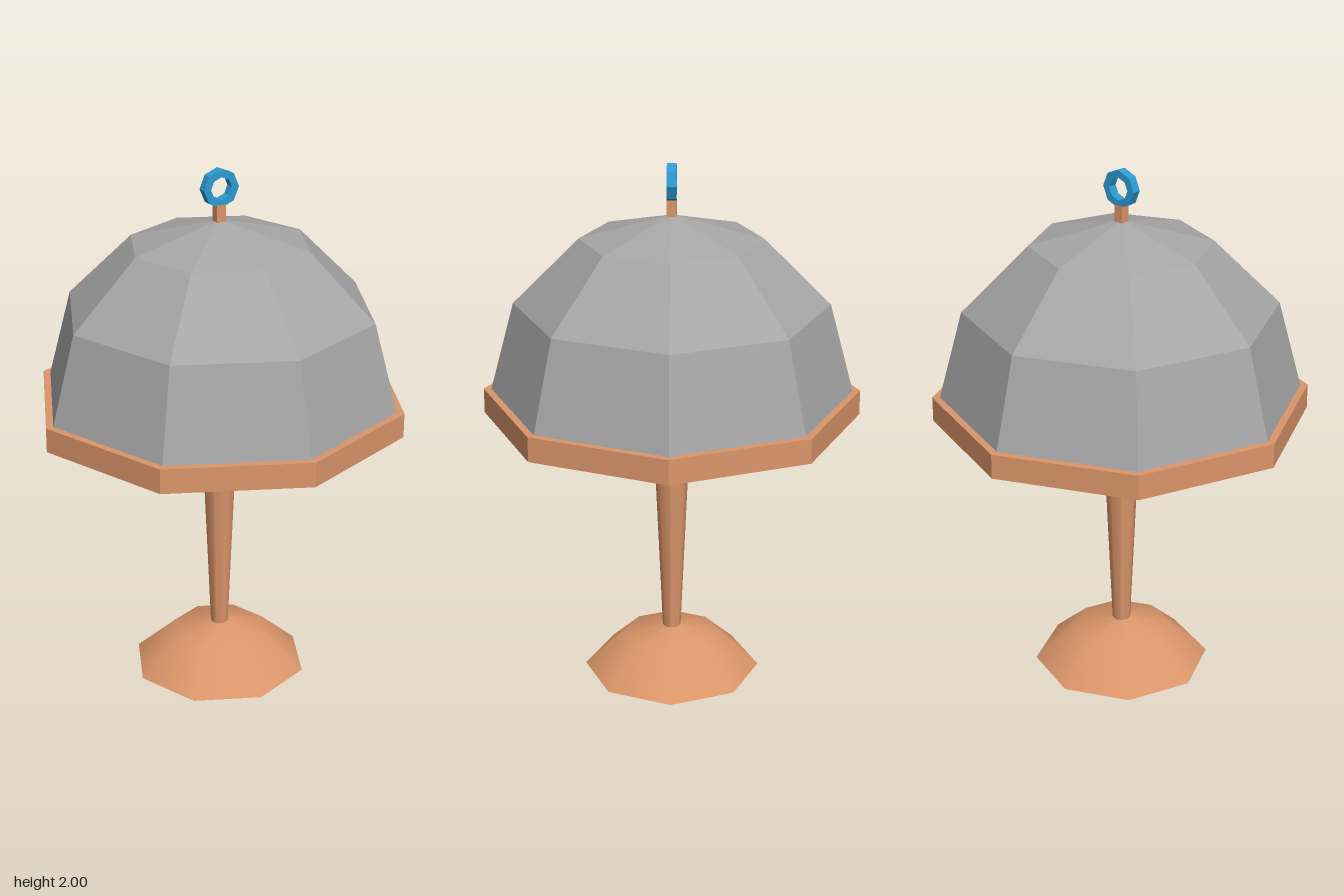
import * as THREE from 'three';

const SIDES = 8;

export function createModel() {
  const lamp = new THREE.Group();
  lamp.name = 'tableLamp';

  const wood = new THREE.MeshStandardMaterial({ name: 'wood', color: 0xdb966a });
  const woodShell = new THREE.MeshStandardMaterial({ name: 'woodShell', color: 0xdb966a, side: THREE.DoubleSide });
  const grey = new THREE.MeshStandardMaterial({ name: 'greyShade', color: 0xa6a6a6 });
  const blue = new THREE.MeshStandardMaterial({ name: 'blueRing', color: 0x2c9bd3 });
  wood.flatShading = false;

  const add = (name, geometry, material, y = 0) => {
    const mesh = new THREE.Mesh(geometry, material);
    mesh.name = name;
    mesh.position.y = y;
    lamp.add(mesh);
    return mesh;
  };

  // Separate the corners so each face gets its own normal
  const faceted = (geometry) => {
    const flat = geometry.index ? geometry.toNonIndexed() : geometry;
    flat.computeVertexNormals();
    return flat;
  };

  // Hollow, smooth foot, open underneath
  const footProfile = [[0.337, 0], [0.185, 0.137], [0, 0.18]].map(([r, y]) => new THREE.Vector2(r, y));
  add('foot', new THREE.LatheGeometry(footProfile, SIDES), woodShell);

  // Stem, widening upward and running down inside the foot
  add('stem', new THREE.CylinderGeometry(0.073, 0.027, 1.06, SIDES), wood, 0.53);

  // Octagonal plate under the shade
  add('shadePlate', faceted(new THREE.CylinderGeometry(0.7, 0.7, 0.093, SIDES)), wood, 1.0955);

  // Faceted half-dome shade
  add('shade', faceted(new THREE.SphereGeometry(0.672, SIDES, 3, 0, Math.PI * 2, 0, Math.PI / 2)), grey, 1.14);

  // Short square post on top
  add('finialPost', new THREE.BoxGeometry(0.036, 0.085, 0.036), wood, 1.8275);

  // Octagonal ring with a square section
  const octagon = (radius) => Array.from({ length: SIDES }, (_, i) => {
    const a = (i / SIDES) * Math.PI * 2;
    return new THREE.Vector2(Math.cos(a) * radius, Math.sin(a) * radius);
  });
  const ringShape = new THREE.Shape(octagon(0.07));
  ringShape.holes.push(new THREE.Path(octagon(0.042).reverse()));
  const ring = new THREE.ExtrudeGeometry(ringShape, { depth: 0.035, bevelEnabled: false });
  ring.translate(0, 0, -0.0175);
  add('finialRing', ring, blue, 1.93);

  return lamp;
}
